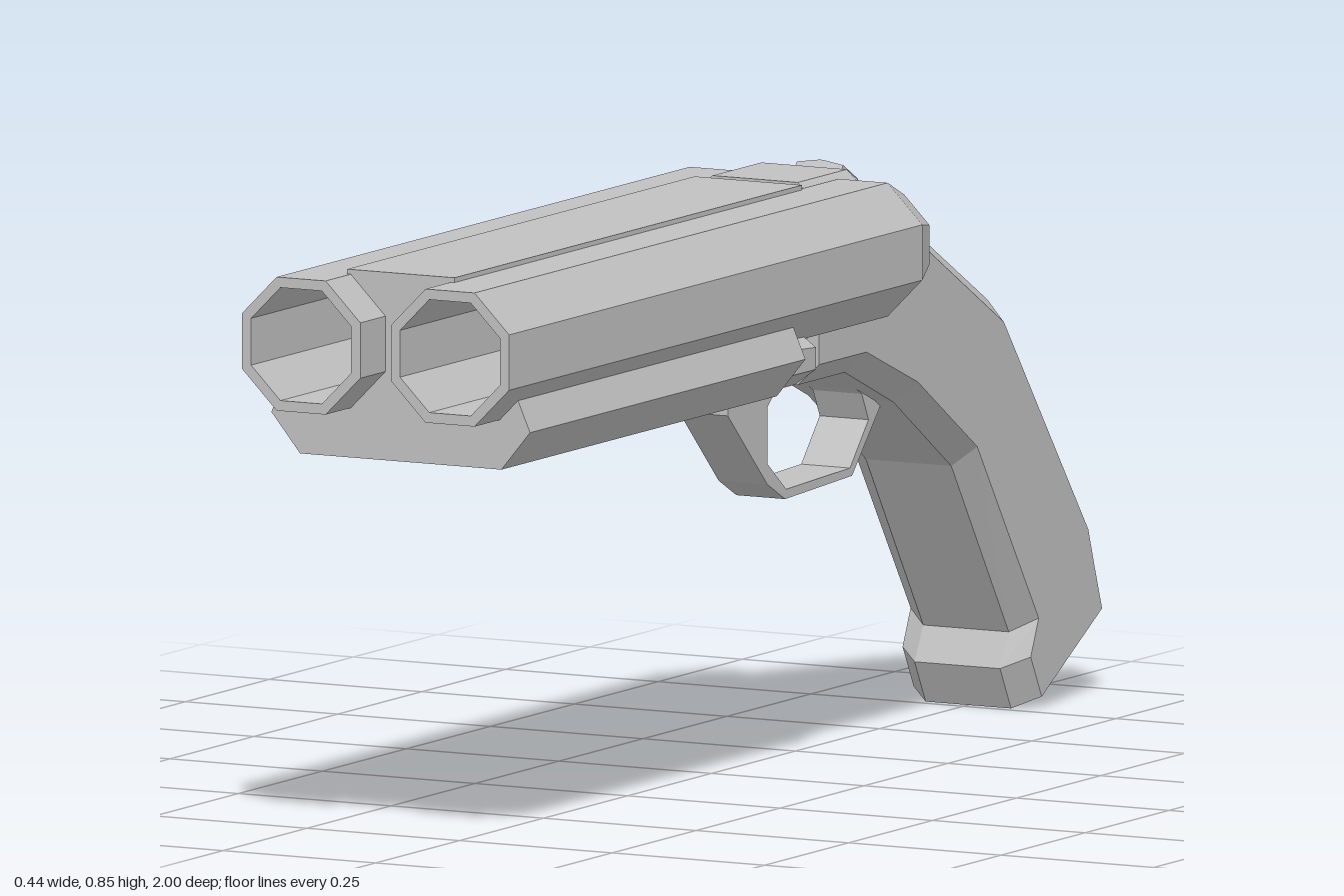
import * as THREE from 'three';

const gray = new THREE.MeshStandardMaterial({ color: 0xc0c0c0 });
gray.name = 'plainGray';

// Faceted mesh: every face gets its own normal
function part(name, geometry, parent) {
  const g = geometry.index ? geometry.toNonIndexed() : geometry;
  g.computeVertexNormals();
  const mesh = new THREE.Mesh(g, gray);
  mesh.name = name;
  parent.add(mesh);
  return mesh;
}

const toShape = pts => new THREE.Shape(pts.map(p => new THREE.Vector2(p[0], p[1])));

// Extrude an outline in x, y from z0 to z1
function alongZ(pts, z0, z1) {
  return new THREE.ExtrudeGeometry(toShape(pts), { depth: z1 - z0, bevelEnabled: false }).translate(0, 0, z0);
}

// Mirror the right half of an outline to the left
const mirrored = half => [...half, ...half.map(([x, y]) => [-x, y]).reverse()];

// Skin over rings that run from front to back, with both ends capped
function loft(rings) {
  const n = rings[0].length, index = [];
  for (let r = 0; r < rings.length - 1; r++) {
    for (let i = 0; i < n; i++) {
      const j = (i + 1) % n, a = r * n + i, b = r * n + j;
      index.push(a, a + n, b, b, a + n, b + n);
    }
  }
  const last = (rings.length - 1) * n;
  for (let i = 1; i < n - 1; i++) {
    index.push(0, i, i + 1, last, last + i + 1, last + i);
  }
  const g = new THREE.BufferGeometry();
  g.setAttribute('position', new THREE.Float32BufferAttribute(rings.flat(2), 3));
  g.setIndex(index);
  return g;
}

// Chamfered ring between a lower point and an upper point, both [z, y]
function ring(low, high, halfWidth, cut) {
  const L = new THREE.Vector2(...low), H = new THREE.Vector2(...high);
  const k = cut / L.distanceTo(H), w = halfWidth, v = halfWidth - 0.035;
  const at = (x, t) => {
    const p = L.clone().lerp(H, t);
    return [x, p.y, p.x];
  };
  return [at(-v, 0), at(v, 0), at(w, k), at(w, 1 - k), at(v, 1), at(-v, 1), at(-w, 1 - k), at(-w, k)];
}

export function createModel() {
  const model = new THREE.Group();
  model.name = 'doubleBarrelProp';

  // Two octagonal tubes with open muzzles and tapered rear ends
  const c = Math.cos(Math.PI / 8);
  const profile = [[0, -0.3], [0.07, -0.3], [0.097, -0.23], [0.097, 1], [0.082, 1], [0.082, 0.3], [0, 0.3]]
    .map(([r, z]) => new THREE.Vector2(r / c, z));
  for (const side of [1, -1]) {
    const tube = new THREE.LatheGeometry(profile, 8, Math.PI / 8).rotateX(Math.PI / 2);
    part(side > 0 ? 'leftBarrel' : 'rightBarrel', tube, model).position.set(side * 0.122, 0.742, 0);
  }

  // Rib with the web that fills the gap between the tubes
  part('topRib', alongZ(mirrored([
    [0.088, 0.846], [0.088, 0.836], [0.08, 0.836], [0.03, 0.783], [0.03, 0.7], [0.08, 0.648], [0.08, 0.6],
  ]), -0.11, 0.925), model);

  // Fore-end below the tubes
  part('foreEnd', alongZ(mirrored([
    [0.03, 0.7], [0.084, 0.65], [0.16, 0.65], [0.19, 0.68], [0.212, 0.63], [0.165, 0.573],
  ]), 0.105, 0.925), model);

  // Hinge block behind the fore-end
  part('hingeBlock', loft([
    ring([0.105, 0.578], [0.105, 0.665], 0.185, 0.025),
    ring([0.025, 0.578], [0.025, 0.66], 0.185, 0.025),
    ring([0, 0.588], [0, 0.645], 0.165, 0.015),
  ]), model);

  // Receiver between hinge and grip
  part('receiver', alongZ(mirrored([[0.085, 0.7], [0.085, 0.6], [0.065, 0.575]]), -0.2, 0.105), model);

  // Curved grip: front and back points of each section as [z, y]
  const sections = [
    [[-0.13, 0.552], [-0.13, 0.846]],
    [[-0.27, 0.552], [-0.276, 0.846]],
    [[-0.415, 0.49], [-0.48, 0.728]],
    [[-0.587, 0.375], [-0.694, 0.603]],
    [[-0.758, 0.112], [-0.957, 0.26]],
    [[-0.732, 0.062], [-0.978, 0.2]],
    [[-0.765, 0], [-1, 0.137]],
  ];
  part('grip', loft(sections.map(([f, b]) => ring(f, b, 0.105, 0.032))), model);

  // Trigger guard, an outline in z, y with an opening
  const guard = toShape([
    [0.024, 0.58], [0.024, 0.525], [-0.094, 0.41], [-0.147, 0.382], [-0.346, 0.39],
    [-0.43, 0.48], [-0.41, 0.51], [-0.29, 0.575],
  ]);
  guard.holes.push(new THREE.Path([
    [-0.094, 0.522], [-0.13, 0.553], [-0.29, 0.553], [-0.375, 0.505], [-0.395, 0.465],
    [-0.34, 0.402], [-0.15, 0.396], [-0.094, 0.44],
  ].map(p => new THREE.Vector2(p[0], p[1]))));
  part('triggerGuard', new THREE.ExtrudeGeometry(guard, { depth: 0.08, bevelEnabled: false })
    .translate(0, 0, -0.04).rotateY(-Math.PI / 2), model);

  // Release lever lying on the slope of the grip
  const lever = new THREE.Group();
  lever.name = 'releaseLever';
  lever.position.set(0, 0.812, -0.334);
  lever.rotation.x = -0.525;
  model.add(lever);
  part('leverThumbPiece', loft([
    ring([0.03, -0.01], [0.024, 0.028], 0.038, 0.006),
    ring([-0.03, -0.01], [-0.026, 0.028], 0.038, 0.006),
  ]), lever);
  // Flat arm that narrows, then ends in a rounded tip
  part('leverArm', new THREE.ExtrudeGeometry(toShape(mirrored([
    [0.028, 0.02], [0.028, 0.05], [0.013, 0.2], [0.025, 0.222], [0.025, 0.25], [0.012, 0.27],
  ])), { depth: 0.02, bevelEnabled: false }).rotateX(-Math.PI / 2).translate(0, -0.005, 0), lever);

  return model;
}
